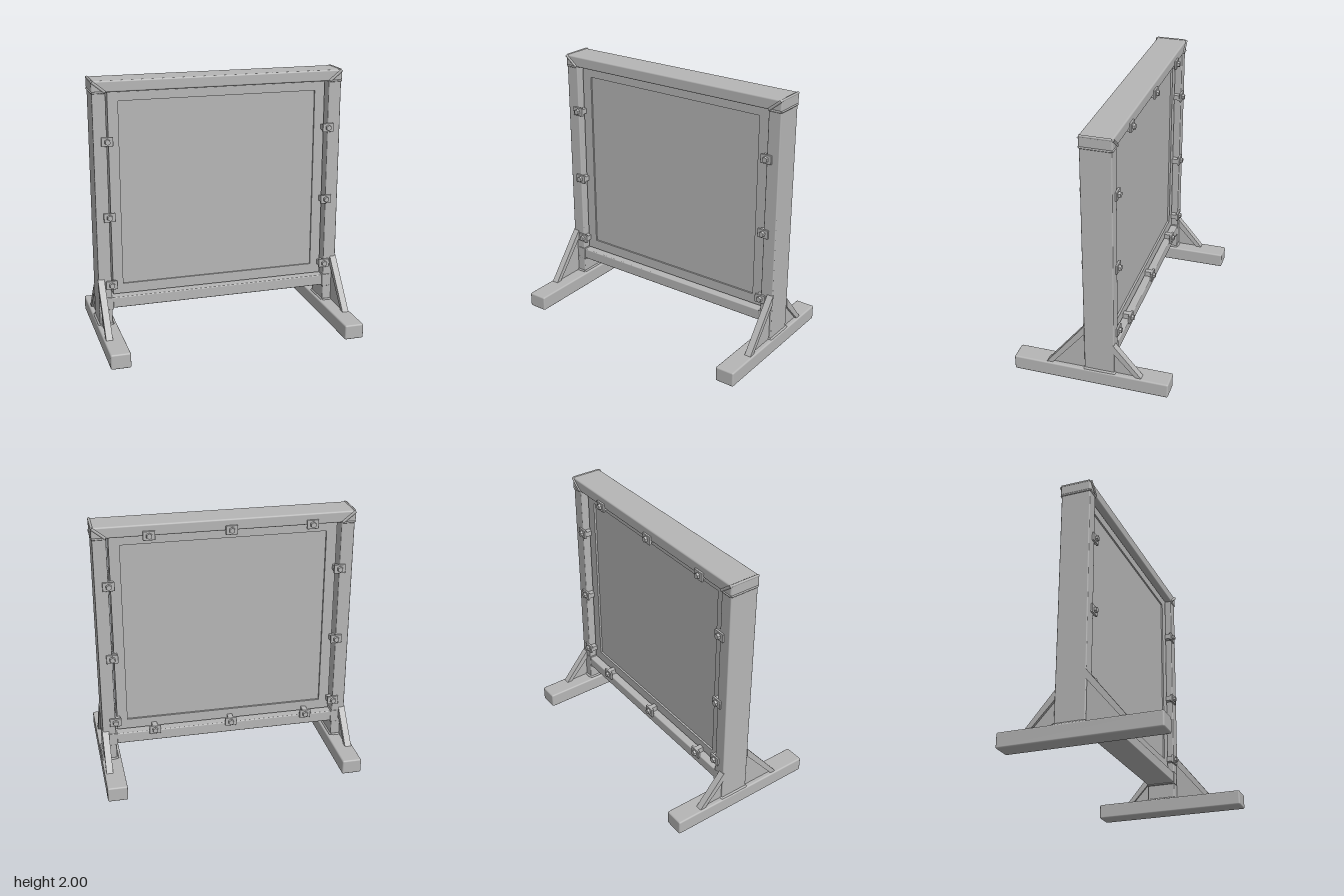
import * as THREE from 'three';
import { RoundedBoxGeometry } from 'three/addons/geometries/RoundedBoxGeometry.js';

export function createModel() {
  const model = new THREE.Group();
  const steel = new THREE.MeshStandardMaterial({ color: 0xb6b6b6 });
  steel.name = 'grey steel';

  const add = (name, geometry, parent = model) => {
    const mesh = new THREE.Mesh(geometry, steel);
    mesh.name = name;
    parent.add(mesh);
    return mesh;
  };
  // Box given by its limits, with slightly rounded edges
  const block = (name, x0, x1, y0, y1, z0, z1, r = 0.008, parent = model) => {
    const g = r > 0
      ? new RoundedBoxGeometry(x1 - x0, y1 - y0, z1 - z0, 2, r)
      : new THREE.BoxGeometry(x1 - x0, y1 - y0, z1 - z0);
    const mesh = add(name, g, parent);
    mesh.position.set((x0 + x1) / 2, (y0 + y1) / 2, (z0 + z1) / 2);
    return mesh;
  };
  // Weld bead along a polyline
  const weld = (name, points, r = 0.007) => {
    const path = new THREE.CurvePath();
    const p = points.map(a => new THREE.Vector3(...a));
    for (let i = 1; i < p.length; i++) path.add(new THREE.LineCurve3(p[i - 1], p[i]));
    add(name, new THREE.TubeGeometry(path, (p.length - 1) * 8, r, 6));
  };
  // Upright plate cut from a (z, y) outline, spanning x0 to x1
  const sidePlate = (name, outline, x0, x1) => {
    const shape = new THREE.Shape(outline.map(([z, y]) => new THREE.Vector2(-z, y)));
    const g = new THREE.ExtrudeGeometry(shape, { depth: x1 - x0, bevelEnabled: false });
    g.rotateY(Math.PI / 2);
    g.scale(1, 1, 1);
    add(name, g).position.x = x0;
  };

  // Beams across the top and bottom
  block('topBeam', -0.965, 0.965, 1.905, 1.99, -0.187, 0.05, 0.012);
  block('bottomBeam', -0.87, 0.87, 0.245, 0.33, -0.18, 0.045);

  for (const s of [-1, 1]) {
    const range = (a, b) => (s > 0 ? [a, b] : [-b, -a]);

    // Foot and post
    block('foot', ...range(0.83, 0.98), 0, 0.115, -0.59, 0.59, 0.012);
    block('post', ...range(0.86, 0.96), 0.1, 1.93, -0.18, 0.045);
    block('beamBracket', ...range(0.85, 0.915), 0.235, 0.335, -0.183, 0.05, 0.005);

    // Triangular braces: thin web with a wider sloping flange
    for (const [z0, z1, top] of [[0.04, 0.34, 0.49], [-0.175, -0.39, 0.365]]) {
      const dz = Math.sign(z1 - z0);
      sidePlate('braceWeb', [[z0, 0.11], [z1, 0.11], [z0, top]], ...range(0.93, 0.945));
      sidePlate('braceFlange', [
        [z0, top], [z1, 0.11], [z1 - dz * 0.045, 0.11], [z0, top - 0.07],
      ], ...range(0.915, 0.965));
    }

    // Weld beads at the foot and the mitred top corner
    weld('footWeld', [
      [s * 0.86, 0.115, 0.047], [s * 0.962, 0.115, 0.047],
      [s * 0.962, 0.115, -0.182], [s * 0.86, 0.115, -0.182], [s * 0.86, 0.115, 0.047],
    ], 0.011);
    weld('topWeld', [
      [s * 0.865, 1.905, 0.048], [s * 0.962, 1.905, 0.048],
      [s * 0.962, 1.905, -0.184], [s * 0.865, 1.905, -0.184],
    ], 0.008);
    for (const z of [0.05, -0.186])
      weld('mitreWeld', [[s * 0.865, 1.908, z], [s * 0.96, 1.985, z]], 0.011);
    weld('cornerWeld', [[s * 0.958, 1.985, 0.045], [s * 0.958, 1.985, -0.182]], 0.01);
  }

  // Panel border with a square opening
  const border = new THREE.Shape([
    [-0.842, 0.342], [0.842, 0.342], [0.842, 1.897], [-0.842, 1.897],
  ].map(p => new THREE.Vector2(...p)));
  border.holes.push(new THREE.Path([
    [-0.763, 0.42], [-0.763, 1.83], [0.763, 1.83], [0.763, 0.42],
  ].map(p => new THREE.Vector2(...p))));
  add('panelBorder', new THREE.ExtrudeGeometry(border, { depth: 0.13, bevelEnabled: false }))
    .position.z = -0.13;

  // Panel sheet set slightly into the border
  block('panelSheet', -0.77, 0.77, 0.41, 1.84, -0.115, -0.012, 0);

  // Clamps: plate, spacer against the border, and a hexagonal bolt
  const clamp = (x, y, z, dir, inX, inY) => {
    const clip = new THREE.Group();
    clip.name = 'clamp';
    clip.position.set(x, y, z);
    if (dir < 0) clip.rotation.y = Math.PI;
    const ix = inX * dir; // inward direction in the clamp's own axes
    block('clampPlate', -0.044, 0.044, -0.034, 0.034, -0.006, 0.012, 0.004, clip);
    const spacer = block('clampSpacer', -0.02, 0.02, -0.02, 0.02, -0.055, 0, 0, clip);
    spacer.position.x += ix * 0.02;
    spacer.position.y += inY * 0.014;
    const bolt = add('bolt', new THREE.CylinderGeometry(0.021, 0.024, 0.02, 6).toNonIndexed(), clip);
    bolt.geometry.computeVertexNormals();
    bolt.rotation.x = Math.PI / 2;
    bolt.position.z = 0.02;
    model.add(clip);
  };
  for (const y of [0.435, 0.97, 1.545])
    for (const s of [-1, 1]) {
      clamp(s * 0.86, y, 0.047, 1, -s, 0);
      clamp(s * 0.86, y, -0.181, -1, -s, 0);
    }
  for (const x of [-0.635, -0.035, 0.56]) {
    clamp(x, 1.91, -0.19, -1, 0, -1);
    clamp(x, 0.34, -0.183, -1, 0, 1);
  }

  return model;
}
